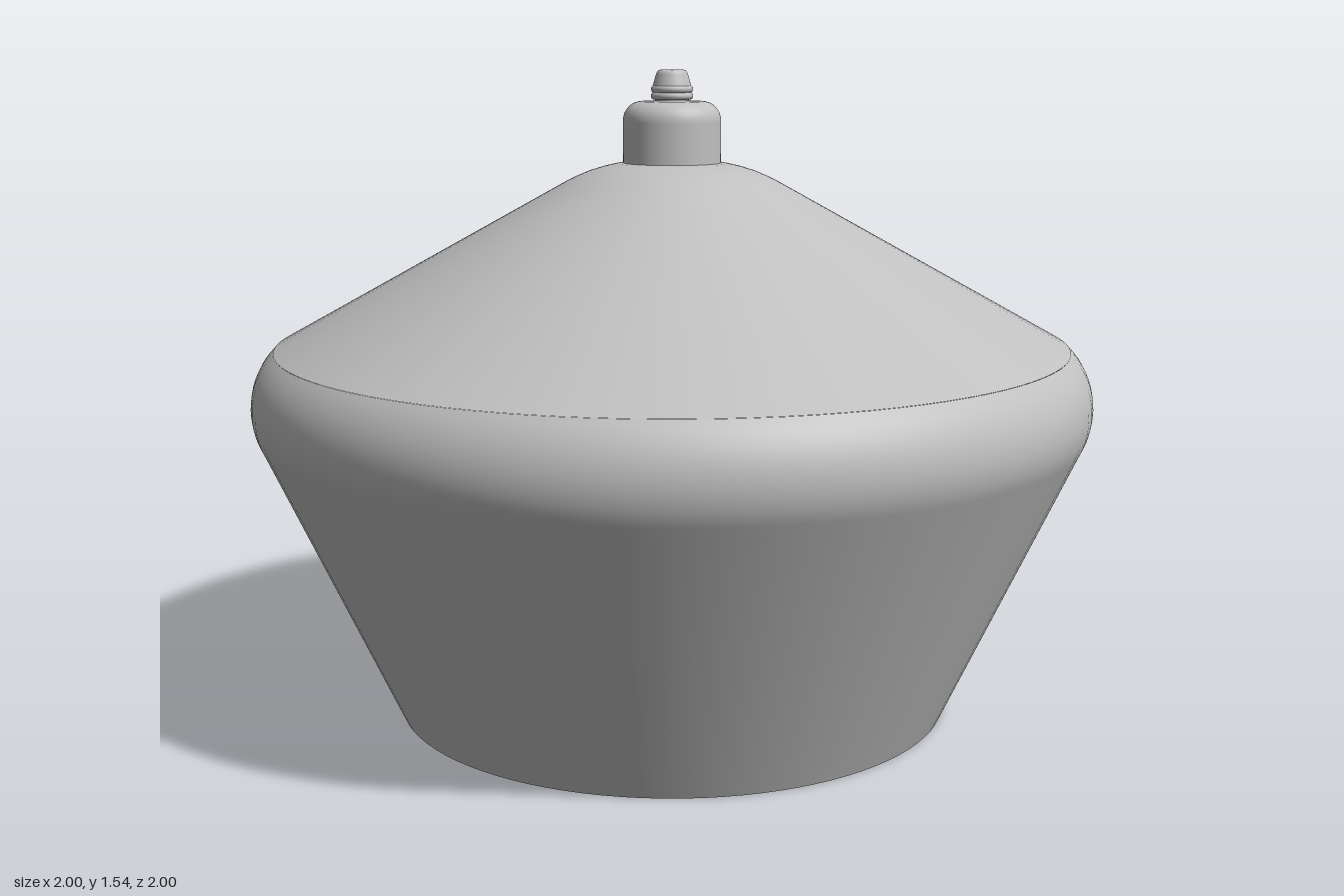
import * as THREE from 'three';

const SEGMENTS = 96;

// Points along a circular arc in the profile plane, angles in degrees from horizontal
function arc(cx, cy, r, from, to, steps) {
  return Array.from({ length: steps + 1 }, (_, i) => {
    const a = THREE.MathUtils.degToRad(from + (to - from) * i / steps);
    return [cx + r * Math.cos(a), cy + r * Math.sin(a)];
  });
}

export function createModel() {
  const model = new THREE.Group();
  model.name = 'pendantLamp';
  const greyMetal = new THREE.MeshStandardMaterial({ color: 0xc0c0c0, side: THREE.DoubleSide });
  greyMetal.name = 'grey metal';

  // Each part is one smooth profile; hard edges fall between parts
  function turned(name, points, parent) {
    const profile = points.map(([x, y]) => new THREE.Vector2(x, y));
    const mesh = new THREE.Mesh(new THREE.LatheGeometry(profile, SEGMENTS), greyMetal);
    mesh.name = name;
    parent.add(mesh);
  }

  // Open shade: flared wall with rolled shoulder, then conical roof
  const shade = new THREE.Group();
  shade.name = 'shade';
  turned('shadeWall', [[0.67, 0], [0.975, 0.667], ...arc(0.82, 0.76, 0.18, -25, 46, 14)], shade);
  turned('shadeRoof', [
    [0.945, 0.89], [0.26, 1.27], [0.235, 1.283], [0.2, 1.298],
    [0.165, 1.309], [0.13, 1.317], [0.1, 1.32], [0, 1.32],
  ], shade);
  model.add(shade);

  // Lamp holder cap with rounded shoulder
  const cap = new THREE.Group();
  cap.name = 'holderCap';
  turned('capSide', [[0.116, 1.315], [0.116, 1.415], ...arc(0.071, 1.418, 0.045, 0, 90, 8), [0, 1.463]], cap);
  model.add(cap);

  // Cable grip: short neck, two stacked rings and a tapered nipple
  const grip = new THREE.Group();
  grip.name = 'cableGrip';
  turned('gripNeck', [[0.04, 1.46], [0.04, 1.5]], grip);
  for (const y of [1.475, 1.491]) turned('gripRing', arc(0.041, y, 0.009, -90, 90, 8), grip);
  turned('gripNipple', [[0.046, 1.496], [0.038, 1.525], ...arc(0.026, 1.525, 0.011, 15, 90, 6), [0, 1.536]], grip);
  model.add(grip);

  return model;
}
